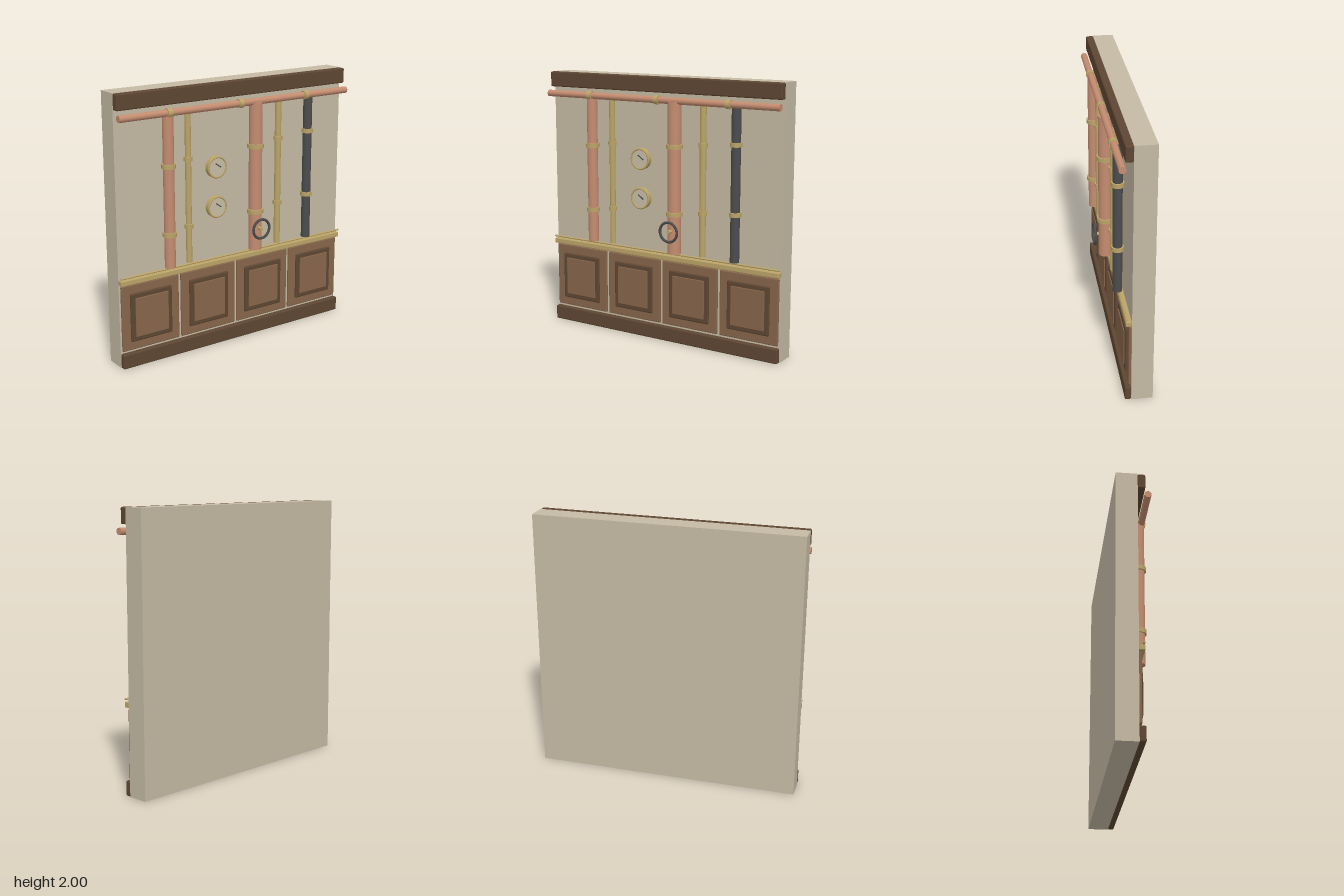
import * as THREE from 'three';
import { RoundedBoxGeometry } from 'three/addons/geometries/RoundedBoxGeometry.js';

const mat = (name, color) => {
  const m = new THREE.MeshStandardMaterial({ color });
  m.name = name;
  return m;
};

export function createModel() {
  const plaster = mat('plaster', 0xc4b9a3);
  const darkWood = mat('dark wood', 0x5e4632);
  const wood = mat('panel wood', 0x86654a);
  const copper = mat('copper', 0xc48c70);
  const brass = mat('brass', 0xbba468);
  const iron = mat('iron', 0x4c4c4c);
  const dial = mat('dial face', 0xc8bda6);

  const model = new THREE.Group();
  model.name = 'pipeWall';

  const add = (name, geometry, material, x, y, z, parent = model) => {
    const mesh = new THREE.Mesh(geometry, material);
    mesh.name = name;
    mesh.position.set(x, y, z);
    parent.add(mesh);
    return mesh;
  };
  // Softened board given by its y range and z range
  const board = (name, material, x, width, y0, y1, z0, z1, r = 0.008) =>
    add(name, new RoundedBoxGeometry(width, y1 - y0, z1 - z0, 2, r), material, x, (y0 + y1) / 2, (z0 + z1) / 2);
  const rod = (r, length, axis = 'y') => {
    const g = new THREE.CylinderGeometry(r, r, length, 24);
    if (axis === 'x') g.rotateZ(Math.PI / 2);
    if (axis === 'z') g.rotateX(Math.PI / 2);
    return g;
  };

  // Wall slab and horizontal trim
  add('wall', new THREE.BoxGeometry(2, 2, 0.155), plaster, 0, 1, -0.0775);
  board('crownMoulding', darkWood, 0, 2, 1.885, 2, 0, 0.055, 0.01);
  board('skirting', darkWood, 0, 2, 0, 0.11, 0, 0.045, 0.01);
  board('chairRail', brass, 0, 2, 0.632, 0.672, 0, 0.043, 0.006);
  add('railBead', rod(0.007, 2, 'x'), brass, 0, 0.69, 0.037);

  // Wainscot: board, raised frame and raised field
  for (let i = 0; i < 4; i++) {
    const x = -0.75 + i * 0.5;
    board('wainscotBoard', wood, x, 0.48, 0.125, 0.622, 0, 0.02);
    board('wainscotFrame', darkWood, x, 0.345, 0.19, 0.557, 0.005, 0.034, 0.01);
    board('wainscotField', wood, x, 0.275, 0.225, 0.522, 0.015, 0.041, 0.004);
  }

  // Vertical pipes, each with two collars
  const pipes = [
    ['widePipe', copper, -0.602, 0.04, 1.455],
    ['thinPipe', brass, -0.428, 0.022, 1.48],
    ['mainPipe', copper, 0.146, 0.05, 1.505],
    ['thinPipe', brass, 0.373, 0.024, 1.53],
    ['ironPipe', iron, 0.648, 0.034, 1.555],
  ];
  for (const [name, material, x, r, collarY] of pipes) {
    const z = r + 0.015;
    add(name, rod(r, 1.125), material, x, 1.2675, z);
    for (const y of [collarY, collarY - 0.5])
      add('pipeCollar', rod(r * 1.08 + 0.008, 0.032), brass, x, y, z);
  }

  // Horizontal header pipe with clamps
  add('headerPipe', rod(0.025, 2, 'x'), copper, 0, 1.835, 0.072);
  for (const x of [-0.603, 0, 0.6])
    add('headerClamp', rod(0.033, 0.035, 'x'), brass, x, 1.835, 0.072);

  // Pressure gauges
  for (const y of [1.38, 1.08]) {
    const gauge = new THREE.Group();
    gauge.name = 'gauge';
    gauge.position.set(-0.177, y, 0);
    model.add(gauge);
    add('gaugeBody', rod(0.08, 0.035, 'z'), brass, 0, 0, 0.0175, gauge);
    add('gaugeRim', new THREE.TorusGeometry(0.075, 0.008, 10, 32), brass, 0, 0, 0.035, gauge);
    add('gaugeFace', rod(0.07, 0.004, 'z'), dial, 0, 0, 0.036, gauge);
    const needle = add('gaugeNeedle', new THREE.BoxGeometry(0.056, 0.008, 0.004), iron, 0.008, 0.013, 0.04, gauge);
    needle.rotation.z = -0.6;
  }

  // Valve handwheel on the main pipe
  const valve = new THREE.Group();
  valve.name = 'valve';
  valve.position.set(0.146, 0.88, 0);
  model.add(valve);
  add('valveWheel', new THREE.TorusGeometry(0.073, 0.01, 10, 36), iron, 0, 0, 0.145, valve);
  add('valveStem', rod(0.013, 0.045, 'z'), brass, 0, 0, 0.125, valve);

  return model;
}
